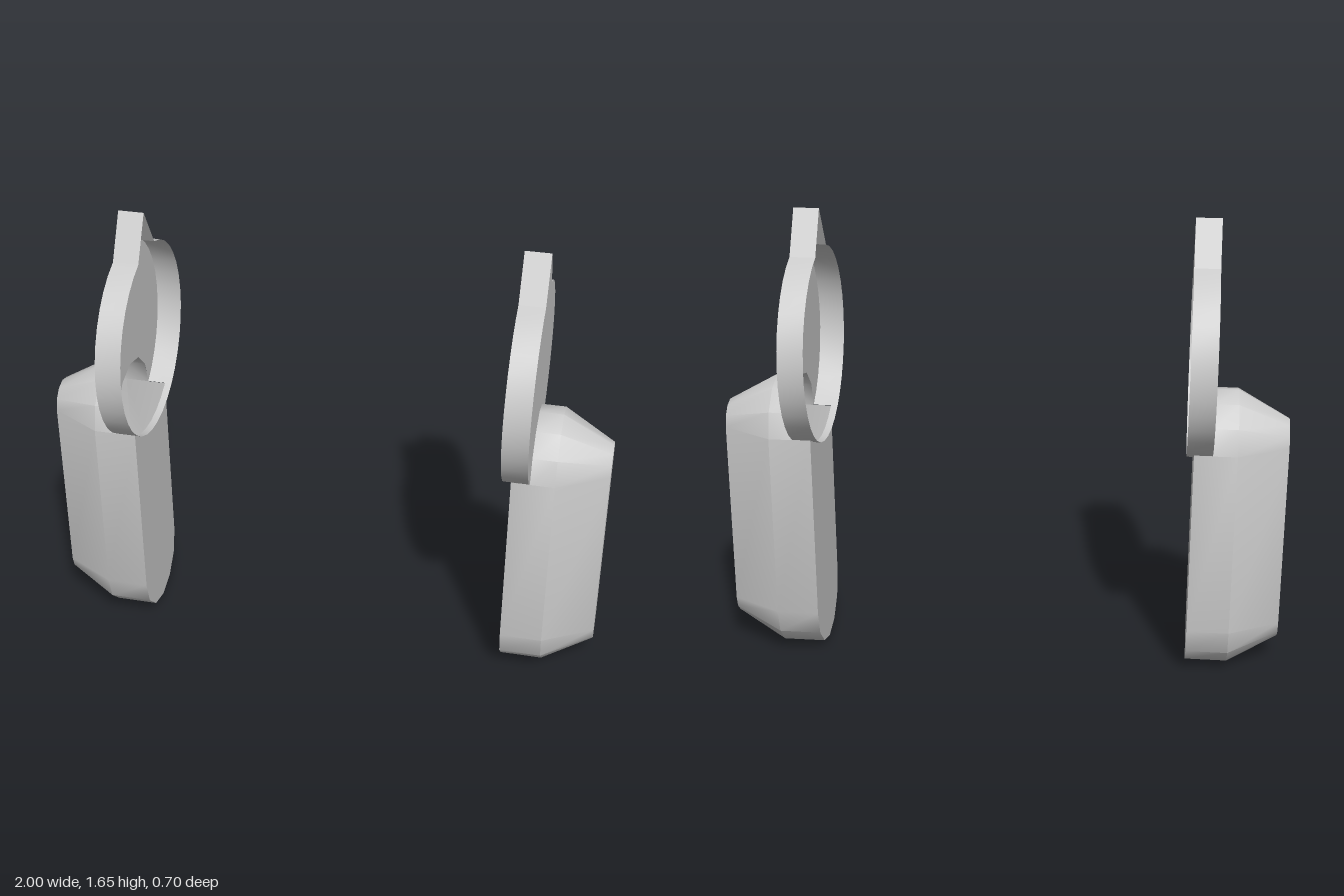
import * as THREE from 'three';
import { mergeGeometries, toCreasedNormals } from 'three/addons/utils/BufferGeometryUtils.js';

const material = new THREE.MeshStandardMaterial({ color: 0xcccccc, side: THREE.DoubleSide });

const BODY_R = 0.182, CAP_R = 0.08, TOP_Y = 0.86, BOTTOM_Y = 0.182;
const INNER_X = 0.67, BEVEL_X = 0.82, OUTER_X = 1;
const DISC_R = 0.35, DISC_Y = 1.16, DISC_IN = 0.645, DISC_OUT = 0.735;
const CUT = Math.asin(BODY_R / DISC_R);   // where the disc meets the body
const SPIKE = Math.asin(0.09 / DISC_R);   // half angle of the spike's base

// Points along an arc in the side plane
function arc(cy, r, from, to, steps) {
  return Array.from({ length: steps + 1 }, (_, i) => {
    const a = from + (to - from) * i / steps;
    return new THREE.Vector2(r * Math.cos(a), cy + r * Math.sin(a));
  });
}

// Surface joining outlines placed at successive x positions
function loft(sections) {
  const n = sections[0].points.length, position = [], index = [];
  for (const { x, points } of sections) for (const p of points) position.push(x, p.y, -p.x);
  for (let s = 0; s < sections.length - 1; s++) {
    for (let i = 0; i < n - 1; i++) {
      const a = s * n + i, b = a + n;
      index.push(a, a + 1, b, a + 1, b + 1, b);
    }
  }
  const geometry = new THREE.BufferGeometry();
  geometry.setAttribute('position', new THREE.Float32BufferAttribute(position, 3));
  geometry.setIndex(index);
  return geometry.toNonIndexed();
}

// Flat face across x, filling an outline
function face(points, x) {
  return new THREE.ShapeGeometry(new THREE.Shape(points)).rotateY(Math.PI / 2).translate(x, 0, 0);
}

const upperArc = r => arc(TOP_Y, r, 0, Math.PI, 6);
const lowerArc = r => arc(BOTTOM_Y, r, Math.PI, 2 * Math.PI, 6);
const lowerPath = r => [new THREE.Vector2(-r, TOP_Y), ...lowerArc(r), new THREE.Vector2(r, TOP_Y)];

function part(name, geometry) {
  const mesh = new THREE.Mesh(geometry, material);
  mesh.name = name;
  return mesh;
}

function createUnit(name) {
  const unit = new THREE.Group();
  unit.name = name;

  // Disc outline: round sides with a spike on top, and the short arc below
  const discUpper = [
    ...arc(DISC_Y, DISC_R, -Math.PI / 2 + CUT, Math.PI / 2 - SPIKE, 13),
    new THREE.Vector2(0, 1.65),
    ...arc(DISC_Y, DISC_R, Math.PI / 2 + SPIKE, Math.PI * 1.5 - CUT, 13),
  ];
  const discLower = arc(DISC_Y, DISC_R, Math.PI * 1.5 - CUT, Math.PI * 1.5 + CUT, 6);

  // Long body with rounded ends, bevelled outwards; its top stops at the disc
  const walls = mergeGeometries([
    loft([
      { x: DISC_OUT, points: upperArc(BODY_R) },
      { x: BEVEL_X, points: upperArc(BODY_R) },
      { x: OUTER_X, points: upperArc(CAP_R) },
    ]),
    loft([
      { x: INNER_X, points: lowerPath(BODY_R) },
      { x: BEVEL_X, points: lowerPath(BODY_R) },
      { x: OUTER_X, points: lowerPath(CAP_R) },
    ]),
  ]);
  unit.add(part('bodyWall', toCreasedNormals(walls, 0.56)));
  unit.add(part('bodyOuterCap', face([...upperArc(CAP_R), ...lowerArc(CAP_R)], OUTER_X)));
  unit.add(part('bodyInnerFace', face([...lowerPath(BODY_R), ...discLower.slice(1, -1).reverse()], INNER_X)));

  // Open disc: outer plate with the body's opening, and a rim
  unit.add(part('discPlate', face([...discUpper, ...upperArc(BODY_R).slice(1, -1).reverse()], DISC_OUT)));
  const rim = mergeGeometries([
    loft([{ x: DISC_IN, points: discUpper }, { x: DISC_OUT, points: discUpper }]),
    loft([{ x: DISC_IN, points: discLower }, { x: INNER_X, points: discLower }]),
  ]);
  unit.add(part('discRim', toCreasedNormals(rim, 0.56)));
  return unit;
}

export function createModel() {
  const model = new THREE.Group();
  model.name = 'discPair';
  const left = createUnit('leftUnit');
  const right = createUnit('rightUnit');
  right.rotation.y = Math.PI;
  model.add(left, right);
  return model;
}
